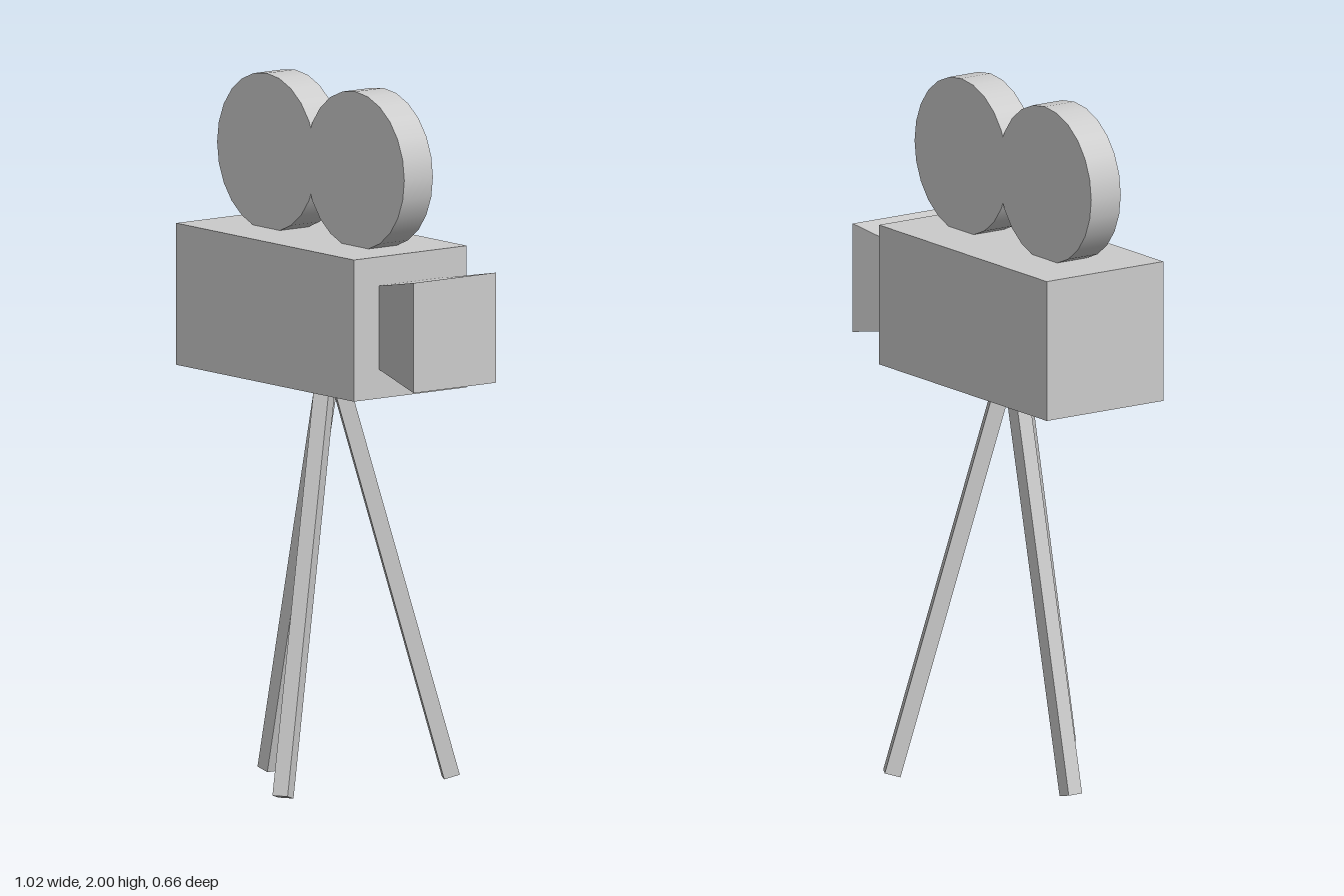
import * as THREE from 'three';

const material = new THREE.MeshStandardMaterial({ color: 0xcccccc });

function part(name, geometry, x, y, z) {
  const mesh = new THREE.Mesh(geometry, material);
  mesh.name = name;
  mesh.position.set(x, y, z);
  return mesh;
}

// Square bar from foot to top, with two faces kept square to its lean
function leg(name, foot, top) {
  const a = new THREE.Vector3(...foot), b = new THREE.Vector3(...top);
  const up = b.clone().sub(a);
  const length = up.length();
  up.normalize();
  const side = new THREE.Vector3(up.z, 0, -up.x).normalize();
  const out = new THREE.Vector3().crossVectors(side, up);
  const geometry = new THREE.BoxGeometry(0.046, length, 0.046);
  geometry.applyMatrix4(new THREE.Matrix4().makeBasis(side, up, out));
  const mid = a.add(b).multiplyScalar(0.5);
  return part(name, geometry, mid.x, mid.y, mid.z);
}

export function createModel() {
  const model = new THREE.Group();
  model.name = 'filmCamera';
  const midZ = -0.0185;

  // Camera body
  model.add(part('body', new THREE.BoxGeometry(0.812, 0.404, 0.403), -0.099, 1.357, midZ));

  // Lens hood, flaring away from the body
  const hood = new THREE.BoxGeometry(0.203, 0.314, 0.294);
  const p = hood.attributes.position;
  for (let i = 0; i < p.count; i++) {
    if (p.getX(i) < 0) p.setXYZ(i, p.getX(i), p.getY(i) * 0.76, p.getZ(i) * 0.76);
  }
  hood.computeVertexNormals();
  model.add(part('lensHood', hood, 0.4085, 1.357, midZ));

  // Two overlapping film reels
  const reel = new THREE.CylinderGeometry(0.225, 0.225, 0.102, 24).rotateX(Math.PI / 2);
  model.add(part('rearReel', reel, -0.285, 1.775, midZ));
  model.add(part('frontReel', reel, 0.12, 1.775, midZ));

  // Tripod
  model.add(leg('rearLeg', [-0.332, 0.006, -0.013], [-0.062, 1.17, -0.013]));
  for (const [name, s] of [['leftLeg', -1], ['rightLeg', 1]]) {
    model.add(leg(name, [0.13, 0.016, s * 0.3 - 0.002], [-0.031, 1.17, s * 0.021 - 0.002]));
  }
  return model;
}
